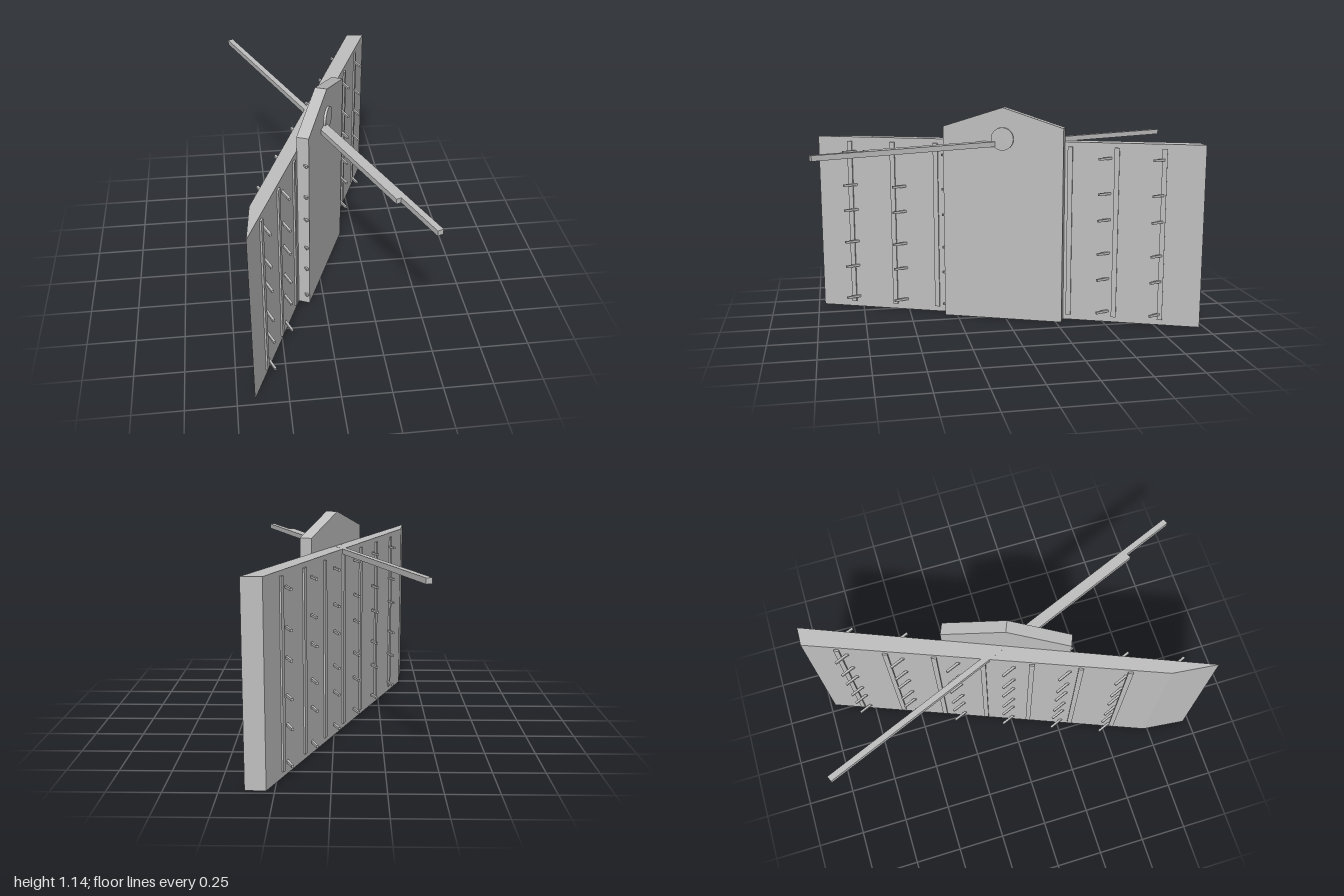
import * as THREE from 'three';

const grey = new THREE.MeshStandardMaterial({ color: 0xc0c0c0 });
grey.name = 'plainGrey';

function add(parent, name, geometry, x = 0, y = 0, z = 0, turn = 0) {
  const mesh = new THREE.Mesh(geometry, grey);
  mesh.name = name;
  mesh.position.set(x, y, z);
  mesh.rotation.y = turn;
  parent.add(mesh);
  return mesh;
}

const outline = (points) => new THREE.Shape(points.map(([x, y]) => new THREE.Vector2(x, y)));

export function createModel() {
  const model = new THREE.Group();
  model.name = 'gabledWall';

  // Local frame: x runs along the wall, z points out of its gabled face
  const frame = new THREE.Group();
  frame.name = 'turnedFrame';
  frame.rotation.y = THREE.MathUtils.degToRad(67.5);
  model.add(frame);

  // Wall plan, tapered slightly and bevelled at one end
  const frontZ = (t) => -0.014 - 0.002 * t;
  const backZ = (t) => -0.08 - 0.0147 * (t + 0.823);
  const plan = outline([[-1.052, 0.012], [1.046, 0.016], [1.012, 0.107], [-0.823, 0.08]].reverse());
  const wall = new THREE.ExtrudeGeometry(plan, { depth: 0.965, bevelEnabled: false });
  wall.rotateX(-Math.PI / 2);
  add(frame, 'wall', wall);

  // Gabled slab with a round plate
  const gable = outline([[-0.322, 0], [0.322, 0], [0.322, 1.04], [0, 1.143], [-0.322, 1.04]]);
  add(frame, 'gable', new THREE.ExtrudeGeometry(gable, { depth: 0.062, bevelEnabled: false }), 0, 0, -0.015);
  const disc = new THREE.CylinderGeometry(0.06, 0.06, 0.012, 32);
  disc.rotateX(Math.PI / 2);
  add(frame, 'roundPlate', disc, 0, 0.98, 0.053);

  // Long beam crossing the wall, thickened on its front arm
  const beam = new THREE.Group();
  beam.name = 'crossBeam';
  beam.rotation.y = -Math.PI / 4;
  beam.position.y = 0.952;
  frame.add(beam);
  add(beam, 'longBeam', new THREE.BoxGeometry(0.03, 0.027, 2.152));
  add(beam, 'beamThickening', new THREE.BoxGeometry(0.025, 0.027, 0.795), -0.0275, 0, 0.3975);

  // Upright battens on both faces, left out behind the gable and on the bevel
  const batten = new THREE.BoxGeometry(0.026, 0.912, 0.018);
  for (let i = 0; i < 8; i++) {
    const t = -0.87 + 0.244 * i;
    if (Math.abs(t) > 0.3) add(frame, 'frontBatten', batten, t, 0.485, frontZ(t));
    if (i > 0) add(frame, 'backBatten', batten, t, 0.485, backZ(t));
  }

  // Rows of slanting pegs
  const peg = new THREE.BoxGeometry(0.012, 0.012, 0.08);
  const reach = 0.025; // half the peg along each local axis
  for (const y of [0.06, 0.24, 0.38, 0.56, 0.7, 0.885]) {
    for (let i = 0; i < 7; i++) {
      const t = -0.84 + 0.28 * i;
      add(frame, 'frontPeg', peg, t - reach, y, frontZ(t) + reach, -Math.PI / 4);
      if (i > 0) add(frame, 'backPeg', peg, t - 0.05 + reach, y, backZ(t) - reach, -Math.PI / 4);
    }
  }
  return model;
}
